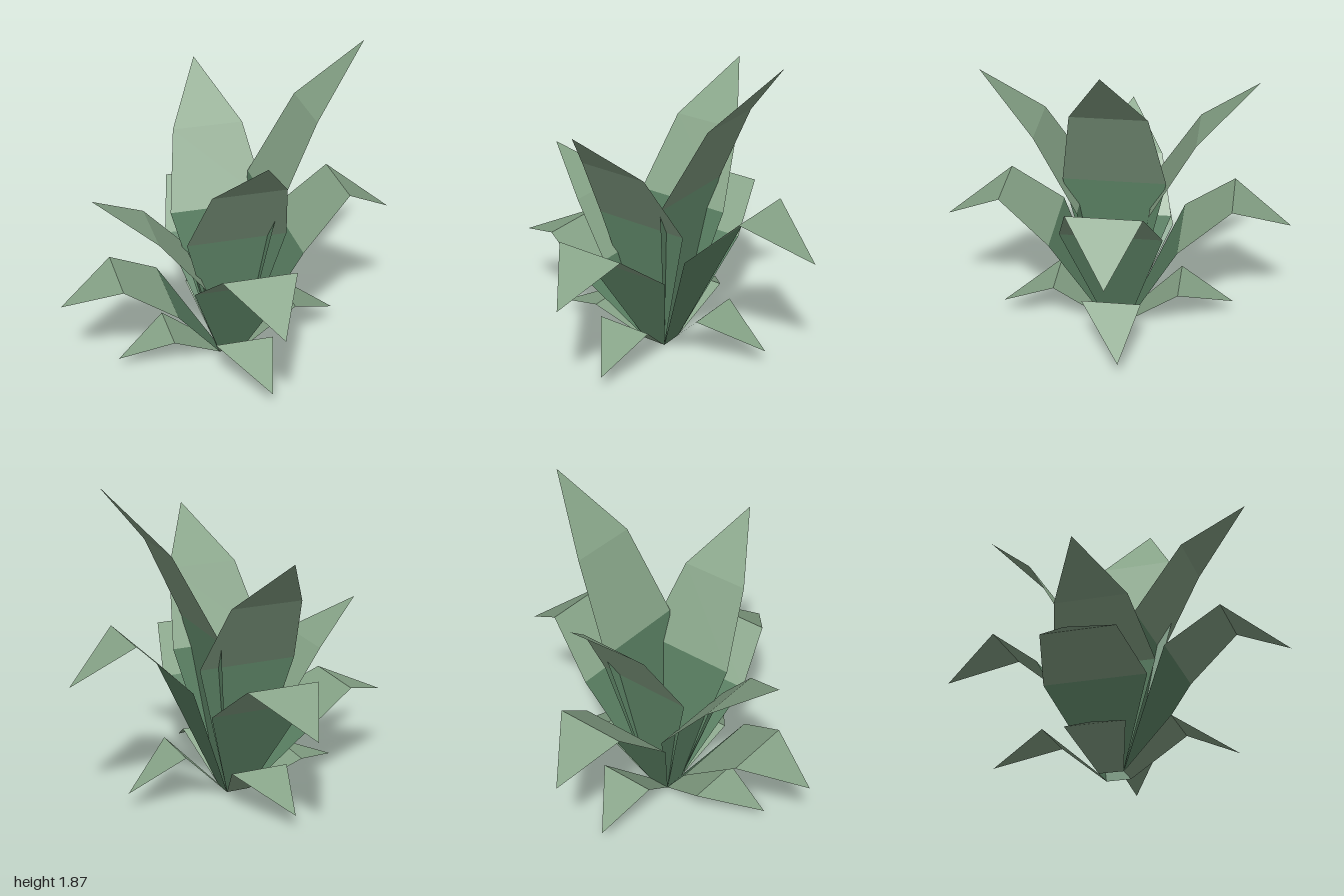
import * as THREE from 'three';

const baseMaterial = new THREE.MeshStandardMaterial({ color: 0x5d8466, flatShading: true, side: THREE.DoubleSide });
const bladeMaterial = new THREE.MeshStandardMaterial({ color: 0x86a387, flatShading: true, side: THREE.DoubleSide });

// Cross-sections of each leaf, growing towards +z: [half width, y, z, sideways shift]
const LEAVES = {
  tallLeaf: { stalk: 1, rows: [[0.07, 0, 0.07, 0], [0.29, 1.0, 0.2, 0], [0.21, 1.5, 0.45, 0], [0, 1.87, 0.78, 0]] },
  archingLeaf: { stalk: 1, rows: [[0.07, 0, 0.07, 0], [0.29, 0.735, 0.365, 0], [0.21, 1.02, 0.66, 0], [0, 0.78, 0.995, 0.043]] },
  lowLeaf: { stalk: 0, rows: [[0.07, 0, 0.07, 0], [0.17, 0.305, 0.365, 0], [0, 0.105, 0.68, 0.075]] },
};

// Flat strip through the cross-sections, upper side facing the plant's middle
function strip(rows, material, name) {
  const points = [];
  for (let i = 0; i + 1 < rows.length; i++) {
    const [[w0, y0, z0, s0], [w1, y1, z1, s1]] = [rows[i], rows[i + 1]];
    const a = [s0 - w0, y0, z0], b = [s0 + w0, y0, z0];
    const c = [s1 + w1, y1, z1], d = [s1 - w1, y1, z1];
    points.push(...a, ...c, ...b);
    if (w1 > 0) points.push(...a, ...d, ...c);
  }
  const geometry = new THREE.BufferGeometry();
  geometry.setAttribute('position', new THREE.Float32BufferAttribute(points, 3));
  geometry.computeVertexNormals();
  const mesh = new THREE.Mesh(geometry, material);
  mesh.name = name;
  return mesh;
}

function makeLeaf(name, { stalk, rows }, heightScale) {
  const leaf = new THREE.Group();
  leaf.name = name;
  const scaled = rows.map(([w, y, z, s]) => [w, y * heightScale, z, s]);
  // Darker lower section, then the paler blade
  if (stalk) leaf.add(strip(scaled.slice(0, stalk + 1), baseMaterial, 'leafBase'));
  leaf.add(strip(scaled.slice(stalk), bladeMaterial, 'leafBlade'));
  return leaf;
}

export function createModel() {
  const plant = new THREE.Group();
  plant.name = 'plant';

  // Four clusters a quarter turn apart, each with its own height
  const clusters = [['front', 0.829], ['left', 1], ['back', 0.829], ['right', 0.575]];
  clusters.forEach(([side, heightScale], i) => {
    const cluster = new THREE.Group();
    cluster.name = side + 'Leaves';
    for (const [name, leaf] of Object.entries(LEAVES)) cluster.add(makeLeaf(name, leaf, heightScale));
    cluster.rotation.y = i * Math.PI / 2;
    plant.add(cluster);
  });
  return plant;
}
